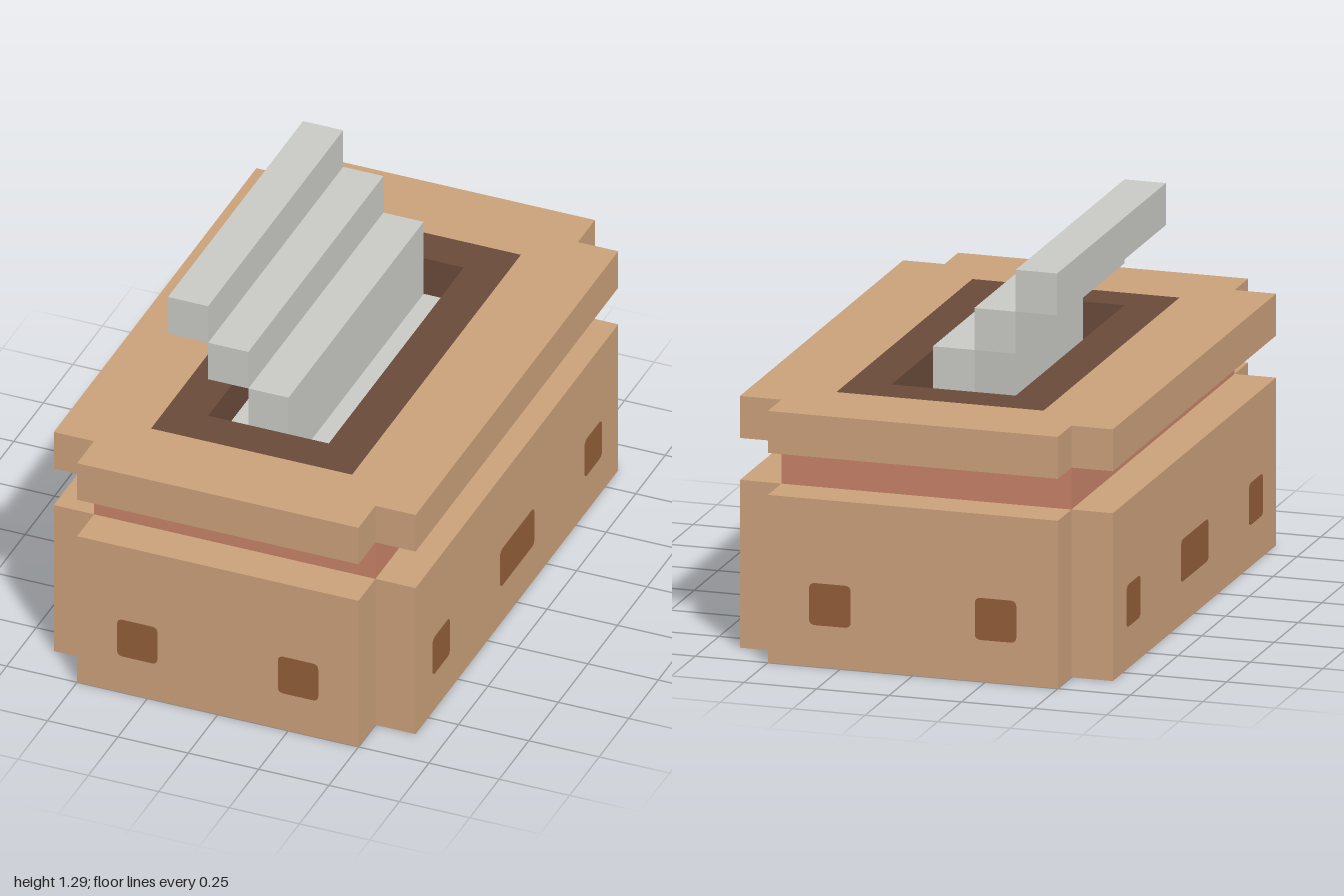
import * as THREE from 'three';

const U = 1 / 7; // building unit
const mat = (name, color) => Object.assign(new THREE.MeshStandardMaterial({ color }), { name });

// Rectangle outline, optionally with rounded corners
function rect(Type, hx, hz, r = 0) {
  const s = new Type();
  if (!r) {
    s.moveTo(-hx, -hz); s.lineTo(hx, -hz); s.lineTo(hx, hz); s.lineTo(-hx, hz);
  } else {
    s.moveTo(-hx + r, -hz);
    s.lineTo(hx - r, -hz); s.quadraticCurveTo(hx, -hz, hx, -hz + r);
    s.lineTo(hx, hz - r); s.quadraticCurveTo(hx, hz, hx - r, hz);
    s.lineTo(-hx + r, hz); s.quadraticCurveTo(-hx, hz, -hx, hz - r);
    s.lineTo(-hx, -hz + r); s.quadraticCurveTo(-hx, -hz, -hx + r, -hz);
  }
  s.closePath();
  return s;
}

// Rectangle with a square notch in every corner
function notched() {
  const a = 3.5 * U, b = 4.5 * U, c = 6 * U, d = 7 * U;
  return new THREE.Shape([
    [-a, -d], [a, -d], [a, -c], [b, -c], [b, c], [a, c],
    [a, d], [-a, d], [-a, c], [-b, c], [-b, -c], [-a, -c],
  ].map(([x, y]) => new THREE.Vector2(x, y)));
}

// Horizontal slab from an outline, standing between y0 and y1
function slab(shape, y0, y1) {
  const g = new THREE.ExtrudeGeometry(shape, { depth: y1 - y0, bevelEnabled: false, curveSegments: 4 });
  return g.rotateX(-Math.PI / 2).translate(0, y0, 0);
}

export function createModel() {
  const group = new THREE.Group();
  const tan = mat('tan', 0xcaa07a);
  const salmon = mat('salmon', 0xc68268);
  const brown = mat('brown', 0x935e39);
  const dark = mat('darkBrown', 0x6a4a3a);
  const grey = mat('grey', 0xc9cac5);

  const add = (name, geometry, material) => {
    const m = new THREE.Mesh(geometry, material);
    m.name = name;
    group.add(m);
    return m;
  };
  const box = (name, x0, x1, y0, y1, hz, material) => add(name,
    new THREE.BoxGeometry(x1 - x0, y1 - y0, 2 * hz).translate((x0 + x1) / 2, (y0 + y1) / 2, 0), material);

  // Base and recessed neck
  add('base', slab(notched(), 0, 4 * U), tan);
  box('neck', -3.5 * U, 3.5 * U, 4 * U, 5 * U, 6 * U, salmon);

  // Lid with a dark frame around a sunken opening
  const lid = notched();
  lid.holes.push(rect(THREE.Path, 2.5 * U, 5 * U));
  add('lid', slab(lid, 5 * U, 6 * U), tan);
  const frame = rect(THREE.Shape, 2.5 * U, 5 * U);
  frame.holes.push(rect(THREE.Path, 1.5 * U, 4 * U));
  add('openingFrame', slab(frame, 5 * U, 6 * U), dark);
  box('openingFloor', -1.5 * U, 1.5 * U, 5 * U, 5 * U + 0.004, 4 * U, grey);

  // Stepped bars rising out of the opening
  box('lowerBar', -0.5 * U, 0.5 * U, 5 * U, 7 * U, 4 * U, grey);
  box('middleBar', -1.5 * U, -0.5 * U, 7 * U, 8 * U, 4 * U, grey);
  box('upperBar', -2.5 * U, -1.5 * U, 8 * U, 9 * U, 4 * U, grey);

  // Thin inlaid panels on all four walls
  const panel = (name, width, x, z, turn) => {
    const g = new THREE.ExtrudeGeometry(rect(THREE.Shape, width / 2, U / 2, 0.02),
      { depth: 0.004, bevelEnabled: false, curveSegments: 4 }).translate(0, 0, -0.002);
    const m = add(name, g, brown);
    m.position.set(x, 1.5 * U, z);
    m.rotation.y = turn;
  };
  for (const side of [1, -1]) {
    for (const x of [-2, 2]) panel('endPanel', U, x * U, side * 7 * U, side > 0 ? 0 : Math.PI);
    for (const z of [-4.5, 0, 4.5]) {
      panel('sidePanel', z ? U : 2 * U, side * 4.5 * U, z * U, side * Math.PI / 2);
    }
  }
  return group;
}
